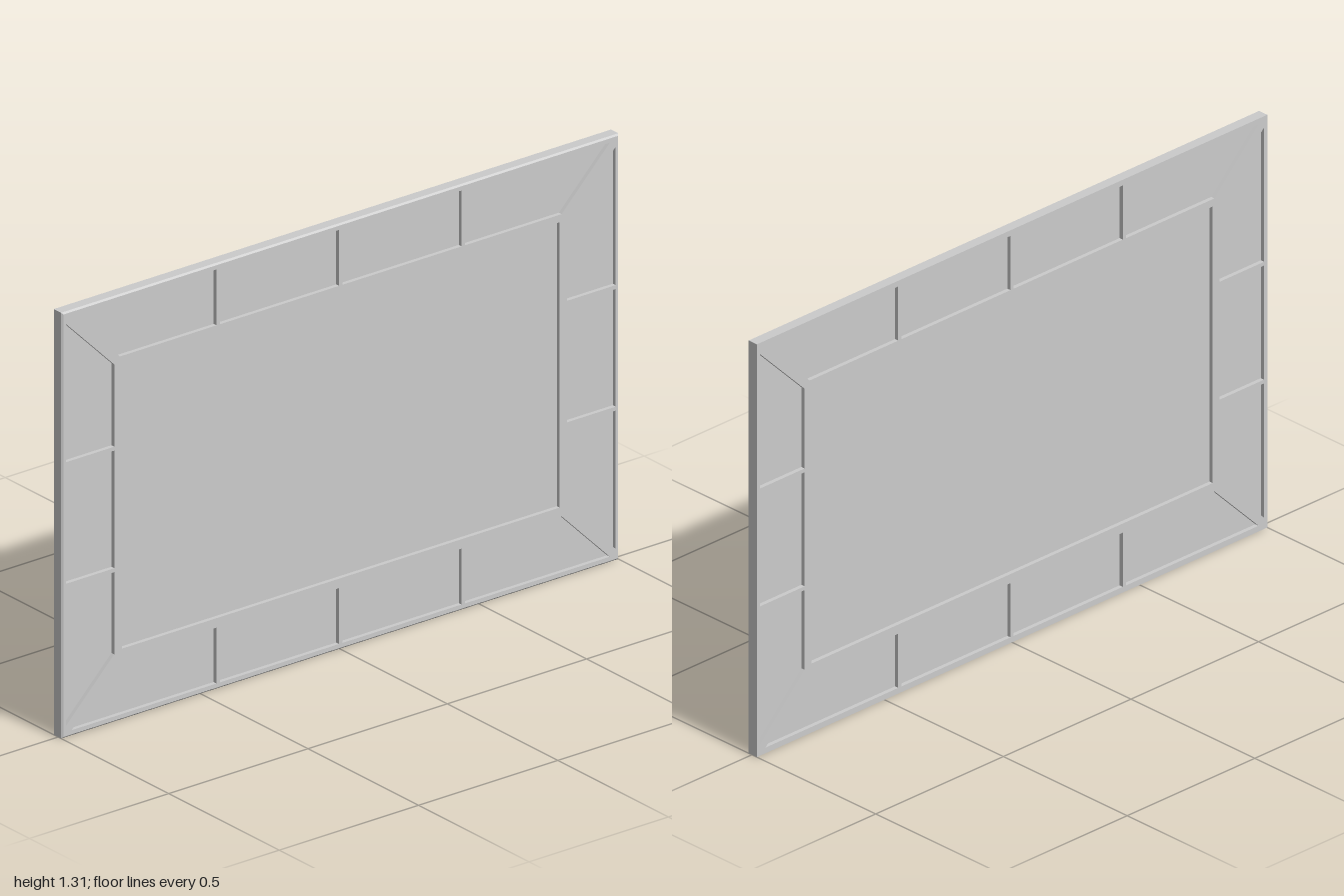
import * as THREE from 'three';

const W = 1, H = 1.31;            // half width, full height
const BACK = -0.02, FRONT = 0.018;
const CHAMFER = 0.005;

export function createModel() {
  const group = new THREE.Group();
  group.name = 'panelledWindow';
  const material = new THREE.MeshStandardMaterial({ color: 0xcccccc, flatShading: true });
  const add = (name, geometry) => {
    const mesh = new THREE.Mesh(geometry, material);
    mesh.name = name;
    group.add(mesh);
  };

  // Pane outlines as corner lists
  const midY = H / 2;
  const panes = [];
  panes.push(['centrePane', [[-0.786, 0.219], [0.786, 0.219], [0.786, 1.097], [-0.786, 1.097]]]);

  // Bottom row, mirrored to the top: mitred end panes and plain middle panes
  const outY = 0.018, inY = 0.19;
  for (const flip of [false, true]) {
    const y = (v) => (flip ? H - v : v);
    const row = flip ? 'topPane' : 'bottomPane';
    for (const s of [-1, 1]) {
      panes.push([row, [[s * 0.966, y(outY)], [s * 0.446, y(outY)], [s * 0.446, y(inY)], [s * 0.793, y(inY)]]]);
      panes.push([row, [[s * 0.434, y(outY)], [s * 0.006, y(outY)], [s * 0.006, y(inY)], [s * 0.434, y(inY)]]]);
    }
  }

  // Side columns: a plain middle pane between two mitred ones
  const outX = 0.987, inX = 0.813;
  for (const s of [-1, 1]) {
    const col = s > 0 ? 'leftPane' : 'rightPane';
    panes.push([col, [[s * outX, midY - 0.181], [s * inX, midY - 0.181], [s * inX, midY + 0.181], [s * outX, midY + 0.181]]]);
    for (const flip of [false, true]) {
      const y = (v) => (flip ? H - v : v);
      panes.push([col, [[s * outX, y(0.036)], [s * inX, y(0.209)], [s * inX, y(0.462)], [s * outX, y(0.462)]]]);
    }
  }

  const toPoints = (corners) => corners.map(([x, y]) => new THREE.Vector2(x, y));

  // Frame: one slab pierced by every pane opening
  const slab = new THREE.Shape(toPoints([[-W, 0], [W, 0], [W, H], [-W, H]]));
  for (const [, corners] of panes) slab.holes.push(new THREE.Path(toPoints(corners)));
  const depth = FRONT - BACK;
  const frame = new THREE.ExtrudeGeometry(slab, { depth, steps: 2, bevelEnabled: false });

  // Chamfer the front outer edge: lift the middle ring and pull in the front rim
  const p = frame.attributes.position;
  for (let i = 0; i < p.count; i++) {
    const z = p.getZ(i);
    if (z > depth * 0.9) {
      p.setX(i, THREE.MathUtils.clamp(p.getX(i), -W + CHAMFER, W - CHAMFER));
      p.setY(i, THREE.MathUtils.clamp(p.getY(i), CHAMFER, H - CHAMFER));
    } else if (z > depth * 0.1) p.setZ(i, depth - CHAMFER);
  }
  frame.translate(0, 0, BACK);
  frame.computeVertexNormals();
  add('frame', frame);

  // Panes set back from both faces of the frame
  for (const [name, corners] of panes) {
    const pane = new THREE.ExtrudeGeometry(new THREE.Shape(toPoints(corners)), { depth: 0.012, bevelEnabled: false });
    add(name, pane.translate(0, 0, -0.007));
  }
  return group;
}
